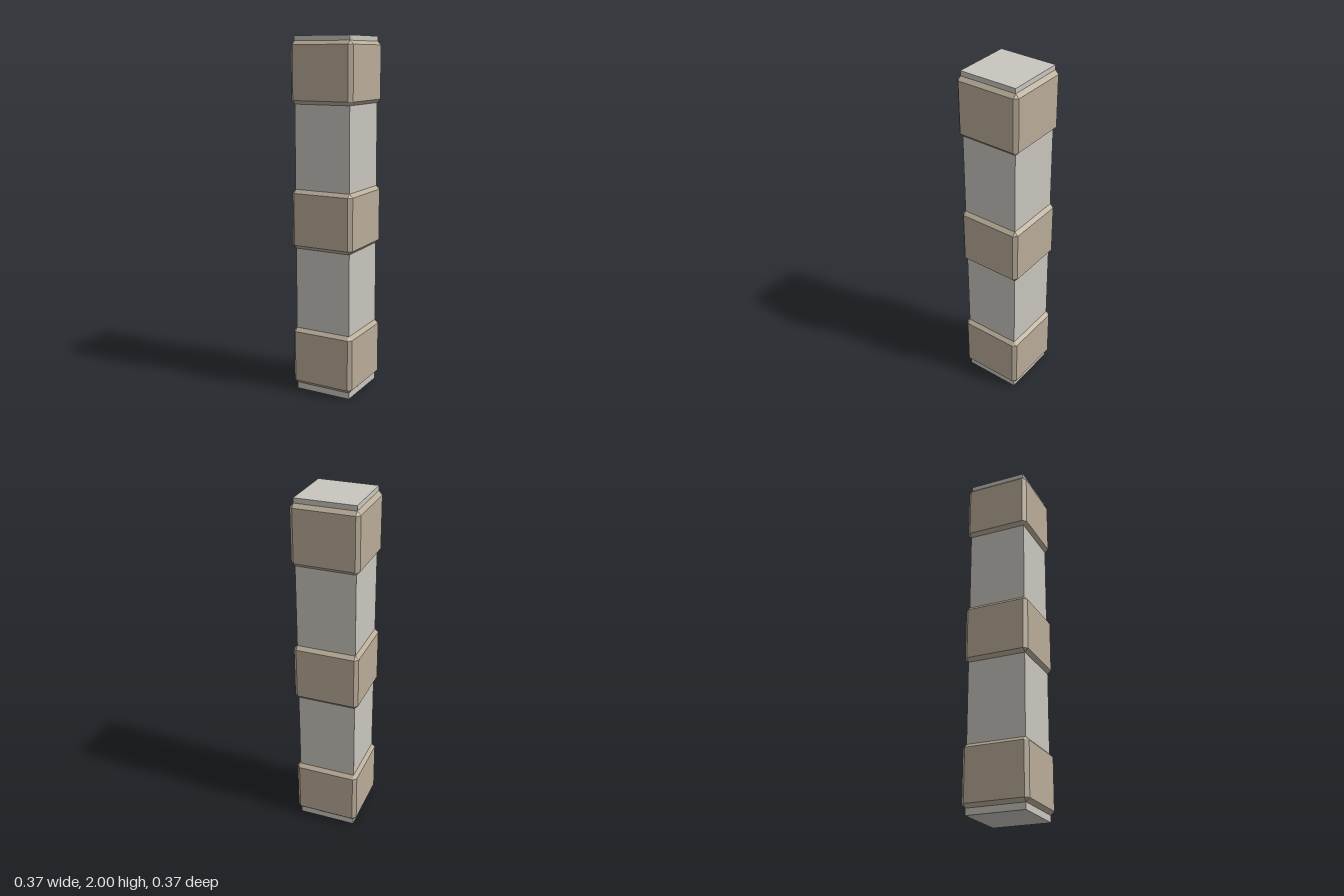
import * as THREE from 'three';
import { ConvexGeometry } from 'three/addons/geometries/ConvexGeometry.js';

// Box with every edge bevelled at 45 degrees
function chamferedBox(width, height, depth, bevel) {
  const x = width / 2, y = height / 2, z = depth / 2, b = bevel;
  const points = [];
  for (const sx of [-1, 1]) for (const sy of [-1, 1]) for (const sz of [-1, 1]) {
    points.push(
      new THREE.Vector3(sx * x, sy * (y - b), sz * (z - b)),
      new THREE.Vector3(sx * (x - b), sy * y, sz * (z - b)),
      new THREE.Vector3(sx * (x - b), sy * (y - b), sz * z)
    );
  }
  return new ConvexGeometry(points);
}

export function createModel() {
  const group = new THREE.Group();
  group.name = 'bandedPillar';

  const stone = new THREE.MeshStandardMaterial({ color: 0xc9c5be, flatShading: true });
  stone.name = 'paleGreyStone';
  const sandstone = new THREE.MeshStandardMaterial({ color: 0xb9ac98, flatShading: true });
  sandstone.name = 'tanSandstone';

  // Square shaft, full height
  const shaft = new THREE.Mesh(new THREE.BoxGeometry(0.334, 2, 0.334), stone);
  shaft.name = 'shaft';
  shaft.position.y = 1;
  group.add(shaft);

  // Three bevelled blocks wrapped around the shaft
  const blockGeometry = chamferedBox(0.374, 0.334, 0.374, 0.02);
  const names = ['lowerBlock', 'middleBlock', 'upperBlock'];
  names.forEach((name, i) => {
    const block = new THREE.Mesh(blockGeometry, sandstone);
    block.name = name;
    block.position.y = 0.204 + i * 0.801;
    group.add(block);
  });

  return group;
}
